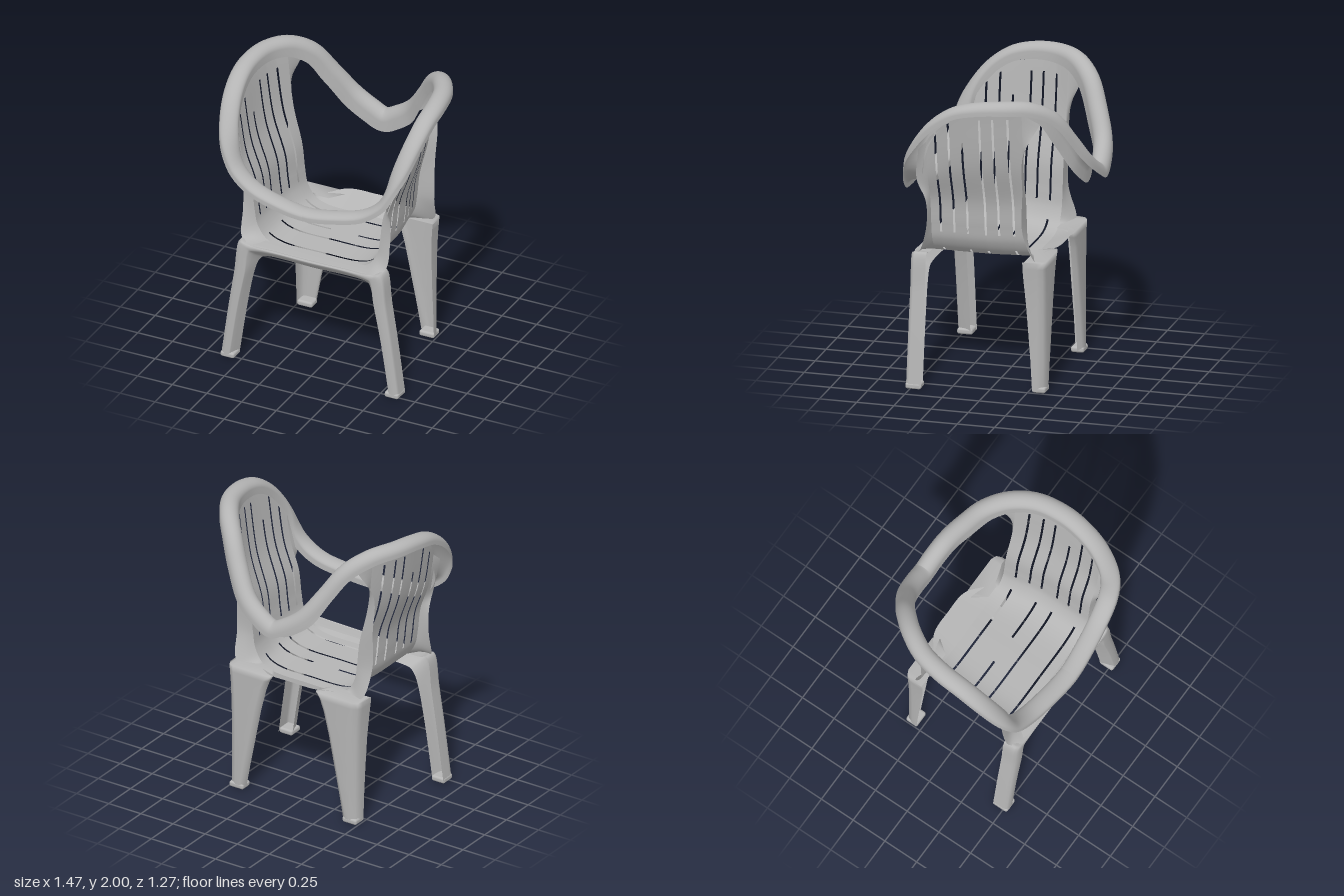
import * as THREE from 'three';
import { RoundedBoxGeometry } from 'three/addons/geometries/RoundedBoxGeometry.js';

const V = (x, y, z) => new THREE.Vector3(x, y, z);
const { lerp, clamp, mapLinear, smoothstep } = THREE.MathUtils;
const plastic = new THREE.MeshStandardMaterial({ color: 0xb4b4b4, side: THREE.DoubleSide });
plastic.name = 'grey plastic';

// Smooth sheet through equal-length rows of points; skip(r, c) leaves a hole
function sheet(name, rows, skip = () => false) {
  const n = rows[0].length, index = [];
  for (let r = 0; r < rows.length - 1; r++) {
    for (let c = 0; c < n - 1; c++) {
      if (skip(r, c)) continue;
      const a = r * n + c, b = a + n;
      index.push(a, b, a + 1, b, b + 1, a + 1);
    }
  }
  const g = new THREE.BufferGeometry().setFromPoints(rows.flat());
  g.setIndex(index);
  g.computeVertexNormals();
  const mesh = new THREE.Mesh(g, plastic);
  mesh.name = name;
  return mesh;
}

// Half a path starting at x = 0, completed on the other side
const mirrored = (half) => [...half.slice(1).reverse().map((p) => V(-p.x, p.y, p.z)), ...half];
const smooth = (pts, n) => {
  const curve = new THREE.CatmullRomCurve3(pts);
  return Array.from({ length: n + 1 }, (_, i) => curve.getPoint(i / n));
};

// Rim centreline on the left half, front to back
const rimHalf = [
  [0, 1.245, 0.57], [0.2, 1.265, 0.555], [0.4, 1.315, 0.53], [0.53, 1.42, 0.51], [0.605, 1.61, 0.47],
  [0.652, 1.79, 0.35], [0.67, 1.9, 0.2], [0.67, 1.94, 0.05], [0.635, 1.948, -0.13],
  [0.55, 1.925, -0.28], [0.445, 1.84, -0.395], [0.345, 1.68, -0.475], [0.225, 1.51, -0.545],
  [0.1, 1.415, -0.57], [0, 1.37, -0.575],
].map((p) => V(...p));
const rimSamples = smooth(rimHalf, 400);

// Where a side panel column meets the inside of the rim
function rimJoin(z) {
  const p = rimSamples.reduce((a, b) => (Math.abs(b.z - z) < Math.abs(a.z - z) ? b : a));
  return V(p.x - 0.06, p.y - 0.05, z);
}

// Hooded section, with a longer inner lip, swept round the closed rim
function makeRim() {
  const back = rimHalf.slice(1, -1).reverse().map((p) => V(-p.x, p.y, p.z));
  const curve = new THREE.CatmullRomCurve3([...rimHalf, ...back], true);
  const rows = [], N = 160;
  for (let i = 0; i <= N; i++) {
    const t = (i % N) / N, p = curve.getPoint(t), T = curve.getTangent(t);
    const out = V(T.z, 0, -T.x).normalize();
    if (out.x * p.x + out.z * p.z < 0) out.negate();
    const up = new THREE.Vector3().crossVectors(T, out);
    if (up.y < 0) up.negate();
    const h = mapLinear(p.z, 0.57, -0.1, 0.65, 1.1);
    const row = [];
    for (let k = 0; k <= 12; k++) {
      const a = k * Math.PI / 12;
      row.push(p.clone().addScaledVector(out, Math.cos(a) * 0.063).addScaledVector(up, Math.sin(a) * 0.05 * h));
    }
    row.unshift(row[0].clone().addScaledVector(up, -0.025));
    row.push(row[13].clone().addScaledVector(up, -0.05 * h));
    rows.push(row);
  }
  return sheet('rim', rows);
}

// U-shaped column of seat and both side panels at depth z
const COLS = 140;
function column(z) {
  const R = rimJoin(z);
  const wide = 0.97 + 0.12 * smoothstep(z, -0.26, 0.1);
  const half = [[0, 0.84], [0.25, 0.847], [0.34, 0.885], [0.395, 0.97], [0.415, 1.08], [0.435, 1.25]]
    .map(([x, y]) => V(x * wide, y, z));
  half.push(V(lerp(half[5].x, R.x, 0.6), lerp(half[5].y, R.y, 0.42), z), R);
  return smooth(mirrored(half), COLS);
}

function makeShell() {
  const slots = [-0.135, -0.04, 0.045, 0.165, 0.255, 0.345], hw = 0.007;
  const zs = [-0.22, -0.18, 0.385, 0.41];
  slots.forEach((s, i) => {
    zs.push(s - hw, s + hw);
    if (i) zs.push((s + slots[i - 1]) / 2);
  });
  zs.sort((a, b) => a - b);
  const rows = zs.map(column);
  const skip = (r, c) => {
    const i = slots.findIndex((s) => Math.abs((zs[r] + zs[r + 1]) / 2 - s) < 0.002);
    if (i < 0) return false;
    const p = rows[r][c], x = Math.abs(p.x), top = rows[r][0].y;
    const sideSlot = p.y > 1.02 && p.y < Math.min(i === 3 ? 1.68 : 1.84, top - 0.02);
    const seatSlot = p.y < 0.9 && x < 0.38 && ([0, 3, 5].includes(i) || (i === 2 && x > 0.09));
    return sideSlot || seatSlot;
  };
  return sheet('slattedSeatAndSides', rows, skip);
}

// Flange from a shell edge out to a given lip line
function flange(name, z, lip) {
  const outer = smooth(mirrored(lip.map((p) => V(...p))), COLS), inner = column(z);
  return sheet(name, [inner, inner.map((p, i) => p.clone().lerp(outer[i], 0.5)), outer]);
}

// Front legs and apron as one arched channel: [inner x, y, outer x, y, share of bevelled inner face]
function makeFrontFrame() {
  const pairs = [
    [0, 0.772, 0, 0.87, 0.85], [0.2, 0.777, 0.25, 0.873, 0.85], [0.33, 0.774, 0.44, 0.876, 0.7],
    [0.395, 0.745, 0.52, 0.875, 0.45], [0.435, 0.65, 0.548, 0.66, 0.3], [0.485, 0.4, 0.588, 0.4, 0.33],
    [0.545, 0.01, 0.642, 0.01, 0.36],
  ];
  // the bevel share rides along as z
  const inner = smooth(mirrored(pairs.map((p) => V(p[0], p[1], p[4]))), 72);
  const outer = smooth(mirrored(pairs.map((p) => V(p[2], p[3], p[4]))), 72);
  const rows = inner.map((p, i) => {
    const f = p.z;
    const section = [[0, 0.44], [f * 0.5, 0.495], [f * 0.85, 0.525], [f, 0.531], [(f + 1) / 2, 0.533], [0.94, 0.525], [1, 0.505], [1, 0.425]];
    return section.map(([k, z]) => V(lerp(p.x, outer[i].x, k), lerp(p.y, outer[i].y, k), z));
  });
  return sheet('frontLegsAndApron', rows);
}

// Rear leg: tapered trough wrapped round the corner, rows of [y, inner x, outer x, front z]
function makeRearLeg(s) {
  const levels = [
    [0.01, 0.385, 0.495, -0.28], [0.2, 0.35, 0.495, -0.27], [0.4, 0.31, 0.495, -0.255],
    [0.6, 0.27, 0.498, -0.24], [0.76, 0.23, 0.505, -0.225], [0.84, 0.2, 0.512, -0.22],
    [0.885, 0.17, 0.515, -0.22],
  ];
  const rows = levels.map(([y, xi, xo, zf]) => [
    [xi, -0.325], [xi + 0.006, -0.355], [xi + 0.03, -0.366], [xo - 0.05, -0.366],
    [xo - 0.015, -0.35], [xo, -0.315], [xo, zf],
  ].map(([x, z]) => V(s * x, y, z)));
  // top web folding forward to the side panel
  rows.push(rows[6].map((p) => V(s * clamp(Math.abs(p.x), 0.24, 0.51), 0.885, -0.23)));
  return sheet('rearLeg', rows);
}

function makeFoot(name, x, z, w, d) {
  const foot = new THREE.Mesh(new RoundedBoxGeometry(w, 0.04, d, 3, 0.015), plastic);
  foot.position.set(x, 0.02, z);
  foot.name = name;
  return foot;
}

export function createModel() {
  const chair = new THREE.Group();
  chair.name = 'armchair';
  chair.add(
    makeRim(),
    makeShell(),
    flange('frontFlange', 0.41, [
      [0, 0.87, 0.525], [0.25, 0.873, 0.525], [0.44, 0.876, 0.525], [0.517, 0.9, 0.47],
      [0.53, 1.08, 0.42], [0.53, 1.25, 0.425], [0.53, 1.39, 0.485], [0.595, 1.62, 0.455],
    ]),
    flange('backFlange', -0.22, [
      [0, 0.91, -0.38], [0.17, 0.905, -0.37], [0.33, 0.88, -0.27], [0.485, 0.89, -0.29],
      [0.525, 1.08, -0.225], [0.53, 1.35, -0.225], [0.545, 1.62, -0.235], [0.485, 1.82, -0.33],
    ]),
    makeFrontFrame(),
  );
  for (const s of [-1, 1]) {
    chair.add(
      makeRearLeg(s),
      makeFoot('frontFoot', s * 0.592, 0.48, 0.1, 0.105),
      makeFoot('rearFoot', s * 0.44, -0.323, 0.11, 0.088),
    );
  }
  return chair;
}
